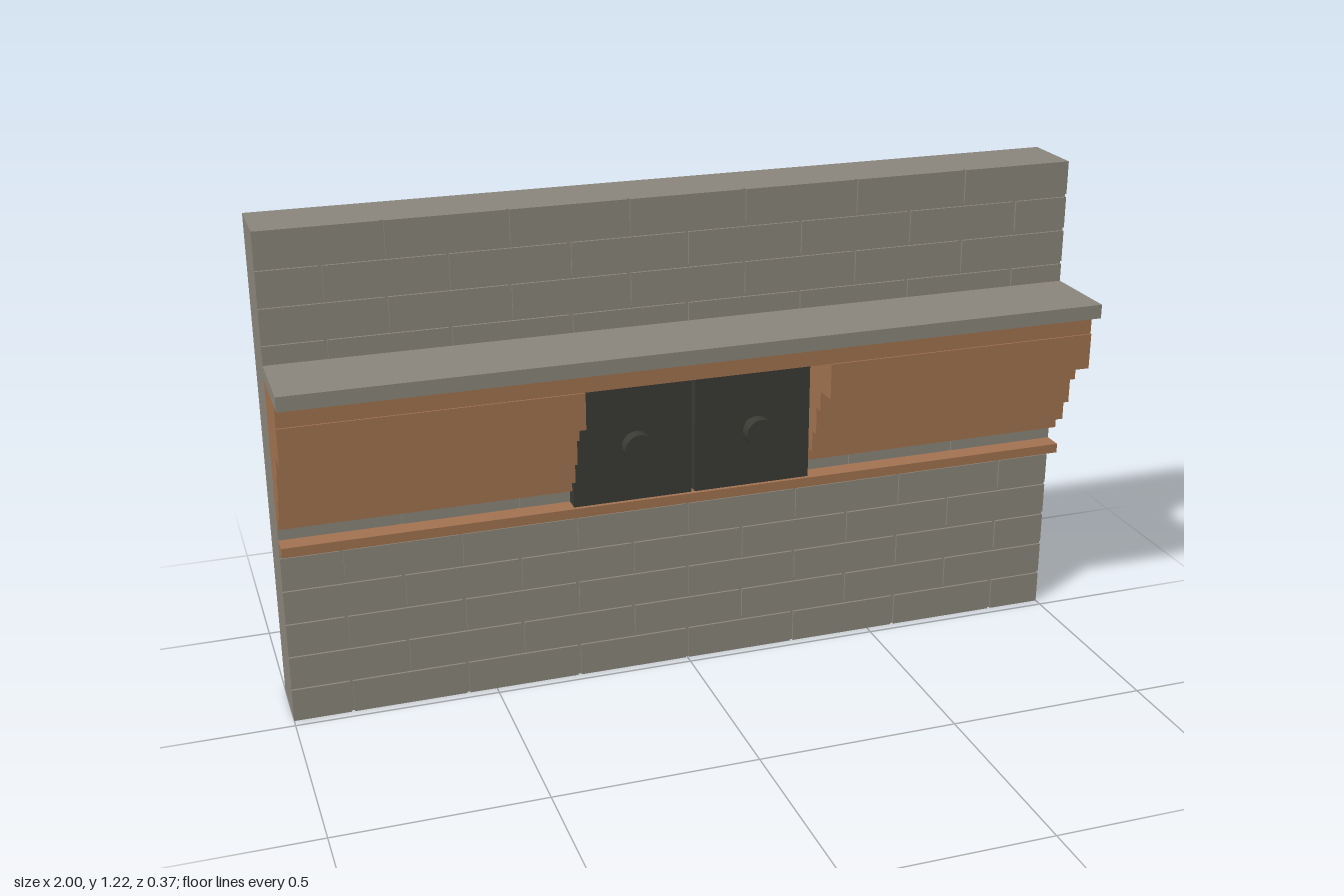
import * as THREE from 'three';

const stone = new THREE.MeshStandardMaterial({ color: 0x8b867c });
stone.name = 'grey stone';
const wood = new THREE.MeshStandardMaterial({ color: 0xa27350 });
wood.name = 'brown wood';
const iron = new THREE.MeshStandardMaterial({ color: 0x3a3b35 });
iron.name = 'black iron';

// Box given by its low and high limits on each axis
function block(name, mat, x0, x1, y0, y1, z0, z1) {
  const mesh = new THREE.Mesh(new THREE.BoxGeometry(x1 - x0, y1 - y0, z1 - z0), mat);
  mesh.position.set((x0 + x1) / 2, (y0 + y1) / 2, (z0 + z1) / 2);
  mesh.name = name;
  return mesh;
}

function disc(name, radius, x, y, z0, z1) {
  const geo = new THREE.CylinderGeometry(radius, radius, z1 - z0, 32).rotateX(Math.PI / 2);
  const mesh = new THREE.Mesh(geo, iron);
  mesh.position.set(x, y, (z0 + z1) / 2);
  mesh.name = name;
  return mesh;
}

export function createModel() {
  const model = new THREE.Group();
  model.name = 'fireplaceWall';

  // Wall slab with shallow bricks in running bond
  const height = 1.217, wallFront = -0.029, brickFront = -0.023;
  model.add(block('wall', stone, -1, 1, 0, height, -0.187, wallFront));
  const bricks = new THREE.Group();
  bricks.name = 'bricks';
  const rows = 14, rowH = height / rows, brickW = 2 / 7, gap = 0.004;
  for (let r = 0; r < rows; r++) {
    const shift = r % 2 === 0 ? brickW / 2 : 0;
    const y0 = r * rowH + (r ? gap : 0);
    const y1 = (r + 1) * rowH - (r < rows - 1 ? gap : 0);
    for (let c = 0; c < (shift ? 8 : 7); c++) {
      const left = -1 + c * brickW - shift;
      const x0 = Math.max(-1, left + (c ? gap : 0));
      const x1 = Math.min(1, left + brickW - gap);
      // bricks at the right end run flush with the wall
      const end = left + brickW > 0.999 ? 1 : x1;
      bricks.add(block('brick', stone, x0, end, y0, y1, wallFront - 0.002, brickFront));
    }
  }
  model.add(bricks);

  // Mantel shelf, header board and lower ledge
  model.add(block('mantelShelf', stone, -1, 1, 0.873, 0.908, brickFront, 0.187));
  model.add(block('headerBoard', wood, -1, 1, 0.82, 0.873, -0.028, 0.145));
  model.add(block('lowerLedge', wood, -1, 1, 0.455, 0.479, -0.025, 0.026));

  // Stepped mouldings on each side of the opening: [bottom, top, front]
  const steps = [
    [0.73, 0.82, 0.149], [0.68, 0.73, 0.088], [0.61, 0.68, 0.065],
    [0.555, 0.61, 0.042], [0.52, 0.555, 0.01],
  ];
  for (const side of [-1, 1]) {
    const moulding = new THREE.Group();
    moulding.name = side > 0 ? 'leftMoulding' : 'rightMoulding';
    for (const [y0, y1, front] of steps) {
      const x0 = side > 0 ? 0.303 : -1;
      moulding.add(block('mouldingStep', wood, x0, x0 + 0.697, y0, y1, -0.028, front));
    }
    model.add(moulding);

    // Iron door with a round knob
    const door = new THREE.Group();
    door.name = side > 0 ? 'leftDoor' : 'rightDoor';
    const d0 = side > 0 ? 0.004 : -0.302;
    door.add(block('doorPanel', iron, d0, d0 + 0.298, 0.481, 0.816, -0.018, 0.02));
    const kx = d0 + 0.147;
    door.add(disc('knobNeck', 0.018, kx, 0.638, 0.018, 0.06));
    door.add(disc('knob', 0.037, kx, 0.638, 0.058, 0.088));
    model.add(door);
  }
  return model;
}
